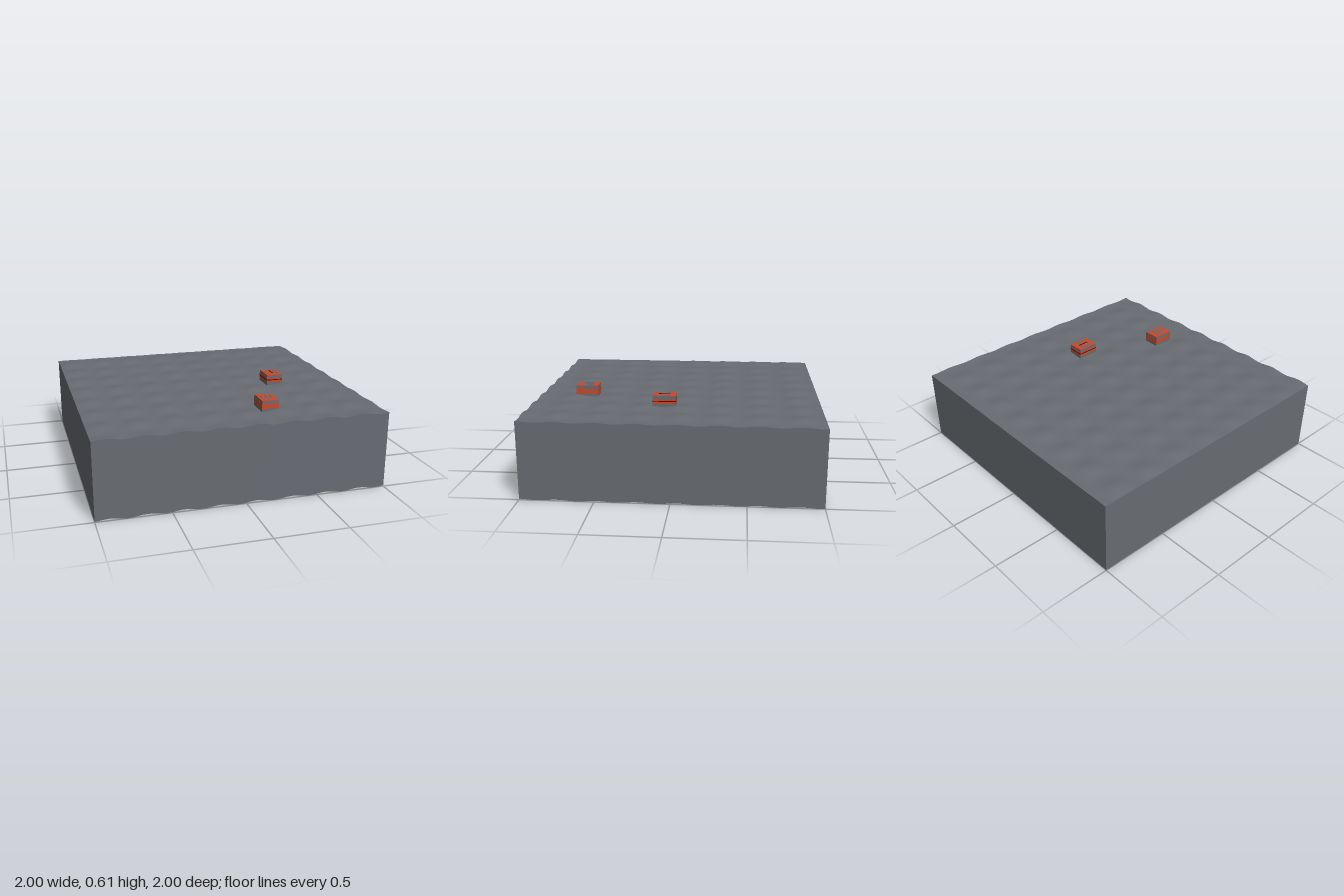
import * as THREE from 'three';

const grey = new THREE.MeshStandardMaterial({ name: 'slate grey', color: 0x686c72, side: THREE.DoubleSide });
const red = new THREE.MeshStandardMaterial({ name: 'brick red', color: 0xc44a30 });
const black = new THREE.MeshStandardMaterial({ name: 'black', color: 0x1c1c1e });

const BASE = 0.533;
const SEG = 64;

// gentle ripple, nearly flat along the back and the -x edge
function ripple(x, z) {
  const a = Math.cos(Math.PI * (x + 0.91) / 0.246) ** 2;
  const b = Math.cos(Math.PI * (z + 0.84) / 0.265) ** 2;
  return 0.014 * a * b;
}

function addBox(parent, name, material, size, pos) {
  const mesh = new THREE.Mesh(new THREE.BoxGeometry(...size), material);
  mesh.name = name;
  mesh.position.set(...pos);
  parent.add(mesh);
}

// rippled ground sheet
function groundTop() {
  const geo = new THREE.PlaneGeometry(2, 2, SEG, SEG).rotateX(-Math.PI / 2);
  const p = geo.attributes.position;
  for (let i = 0; i < p.count; i++) p.setY(i, BASE + ripple(p.getX(i), p.getZ(i)));
  geo.computeVertexNormals();
  const mesh = new THREE.Mesh(geo, grey);
  mesh.name = 'groundTop';
  return mesh;
}

// side wall whose upper and lower edges both follow the ripple
function wall(name, angle) {
  const geo = new THREE.PlaneGeometry(2, BASE, SEG, 1);
  geo.translate(0, BASE / 2, 1).rotateY(angle);
  const p = geo.attributes.position;
  for (let i = 0; i < p.count; i++) p.setY(i, p.getY(i) + ripple(p.getX(i), p.getZ(i)));
  const mesh = new THREE.Mesh(geo, grey);
  mesh.name = name;
  return mesh;
}

// small block with a red cap, a red band and three roof slots
function block(name, x, z, slotGap, marked) {
  const g = new THREE.Group();
  g.name = name;
  g.position.set(x, 0, z);
  addBox(g, 'body', grey, [0.118, 0.079, 0.158], [0, 0.5715, 0]);
  addBox(g, 'band', red, [0.12, 0.036, 0.16], [0, 0.574, 0]);
  addBox(g, 'cap', red, [0.12, 0.002, 0.16], [0, 0.612, 0]);
  for (const i of [-1, 0, 1]) {
    const dark = marked && i === 0;
    addBox(g, 'roofSlot', dark ? black : grey, [dark ? 0.008 : 0.012, 0.003, 0.08], [i * slotGap, 0.6135, 0]);
  }
  if (marked) addBox(g, 'darkLine', black, [0.122, 0.006, 0.162], [0, 0.574, 0]);
  return g;
}

export function createModel() {
  const model = new THREE.Group();
  model.name = 'terrainBlock';
  model.add(groundTop());
  ['frontWall', 'leftWall', 'backWall', 'rightWall'].forEach((n, i) => model.add(wall(n, i * Math.PI / 2)));
  model.add(block('backBlock', 0.5, 0.08, 0.036, true));
  model.add(block('frontBlock', 0.247, 0.665, 0.03, false));
  return model;
}
